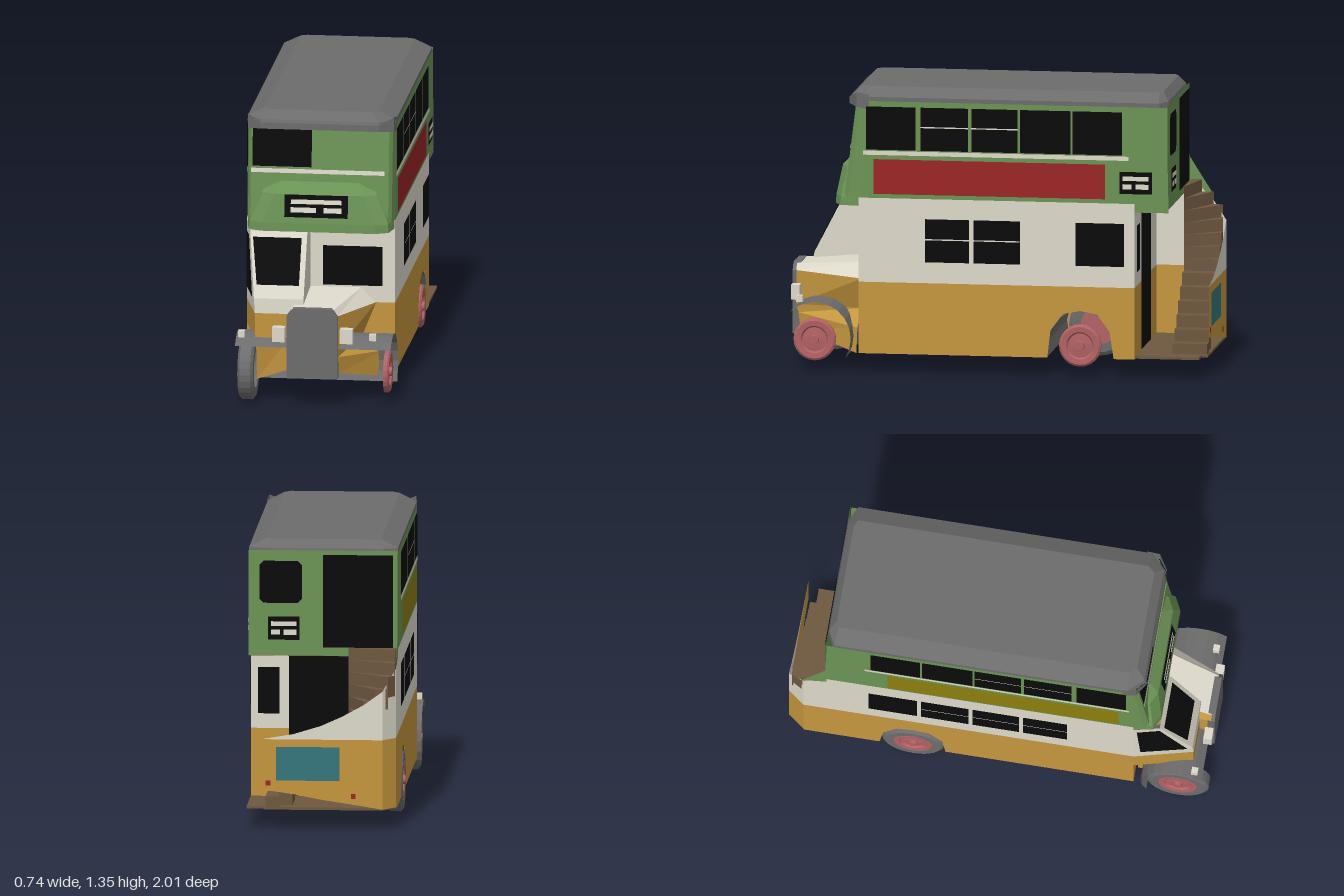
import * as THREE from 'three';
import { ConvexGeometry } from 'three/addons/geometries/ConvexGeometry.js';

const mat = (name, color) => {
  const m = new THREE.MeshStandardMaterial({ color, side: THREE.DoubleSide, flatShading: true });
  m.name = name;
  return m;
};

export function createModel() {
  const bus = new THREE.Group();
  bus.name = 'doubleDeckerBus';
  const cream = mat('cream', 0xddd9cb), orange = mat('orange', 0xc4963e), green = mat('green', 0x6b9355),
    grey = mat('grey', 0x6c6c6c), red = mat('red', 0x9a2626), olive = mat('olive', 0x8c7e0e),
    brown = mat('brown', 0x6e5840), pink = mat('pink', 0xb26264), teal = mat('teal', 0x34767c), black = mat('black', 0x0b0b0b);

  const add = (name, geo, m) => {
    const mesh = new THREE.Mesh(geo, m);
    mesh.name = name;
    bus.add(mesh);
    return mesh;
  };
  // flat outline laid into space by a mapping rule
  const panel = (name, m, pts, map) => {
    const g = new THREE.ShapeGeometry(new THREE.Shape(pts.map(p => new THREE.Vector2(...p))));
    const a = g.attributes.position;
    for (let i = 0; i < a.count; i++) a.setXYZ(i, ...map(a.getX(i), a.getY(i)));
    g.computeVertexNormals();
    return add(name, g, m);
  };
  const side = (name, m, x, pts) => panel(name, m, pts, (z, y) => [x, y, z]);
  const face = (name, m, z, pts) => panel(name, m, pts, (x, y) => [x, y, z]);
  const rect = (a, b, c, d) => [[a, c], [b, c], [b, d], [a, d]];
  // strip of quads between rows of points
  const loft = (name, m, rows) => {
    const v = [];
    for (let r = 0; r + 1 < rows.length; r++)
      for (let i = 0; i + 1 < rows[r].length; i++) {
        const a = rows[r][i], b = rows[r][i + 1], c = rows[r + 1][i + 1], d = rows[r + 1][i];
        v.push(...a, ...b, ...c, ...a, ...c, ...d);
      }
    const g = new THREE.BufferGeometry();
    g.setAttribute('position', new THREE.Float32BufferAttribute(v, 3));
    g.computeVertexNormals();
    return add(name, g, m);
  };
  const quad = (name, m, a, b, c, d) => loft(name, m, [[a, b], [d, c]]);
  const box = (name, m, w, h, d, x, y, z) => add(name, new THREE.BoxGeometry(w, h, d), m).position.set(x, y, z);

  // side walls, windows and advert panels
  const arch = [[-0.56, 0.09], [-0.54, 0.22], [-0.48, 0.30], [-0.4, 0.315], [-0.32, 0.30], [-0.26, 0.22], [-0.245, 0.09]];
  for (const s of [1, -1]) {
    const x = 0.35 * s, back = s > 0 ? -0.66 : -0.92, o = x + 0.004 * s;
    side('lowerSide', orange, x, [[back, 0.09], ...arch, [0.65, 0.09], [0.65, 0.43], [back, 0.43]]);
    side('middleSide', cream, x, [[back, 0.43], [0.65, 0.43], [0.65, 0.83], [s > 0 ? back : -0.84, 0.83], [back, 0.76]]);
    side('upperSide', green, x, [[-0.82, 0.83], [0.64, 0.83], [0.63, 1], [0.61, 1.29], [-0.81, 1.29]]);
    side('advert', s > 0 ? red : olive, o, rect(-0.52, 0.58, 0.85, 1.015));
    side('sideStrip', cream, o, rect(-0.63, 0.63, 1.035, 1.055));
    [[0.38, 0.615], [0.13, 0.355], [-0.105, 0.115], [-0.355, -0.115], [-0.6, -0.365]].forEach(([a, b], i) => {
      side('upperWindow', black, o, rect(a, b, 1.06, 1.265));
      if (i === 1 || i === 2) side('windowBar', cream, x + 0.007 * s, rect(a, b, 1.168, 1.174));
    });
    const lower = [[0.125, 0.335], [-0.115, 0.105], [-0.61, -0.38]];
    if (s < 0) lower.push([-0.36, -0.135]);
    lower.forEach(([a, b], i) => {
      side('lowerWindow', black, o, rect(a, b, 0.53, 0.735));
      if (i !== 2) side('windowBar', cream, x + 0.007 * s, rect(a, b, 0.635, 0.641));
    });
  }
  side('upperLip', green, 0.351, rect(-0.82, -0.66, 0.79, 0.83));
  side('stairSidePanel', green, -0.352, [[-0.81, 0.80], [-0.93, 0.77], [-0.81, 0.96]]);

  // roof with bevelled edges
  const ring = (y, w, zb, zf, c) => [-1, 1].flatMap(s => [
    [s * w, y, zb + c * 0.5], [s * (w - c), y, zb], [s * w, y, zf - c], [s * (w - c), y, zf]]);
  const roof = [...ring(1.285, 0.35, -0.815, 0.70, 0.07), ...ring(1.31, 0.35, -0.81, 0.69, 0.07), ...ring(1.35, 0.27, -0.78, 0.65, 0.03)];
  add('roof', new ConvexGeometry(roof.map(p => new THREE.Vector3(...p))), grey);
  loft('roofPeak', grey, [1.22, 1.29].map((y, i) => [[-0.352, y + 0.03, 0.6], [-0.345, y + 0.04, 0.66], [-0.28, 1.268 + i * 0.03, 0.705], [0.28, 1.268 + i * 0.03, 0.705], [0.345, y + 0.04, 0.66], [0.352, y + 0.03, 0.6]]));

  // upper front wall and canopy bulge
  const zf = y => 0.70 - 0.125 * (y - 1);
  loft('upperFront', green, [0.83, 1.0, 1.29].map(y => {
    const z = zf(y);
    return [[-0.35, y, z - 0.08], [-0.34, y, z - 0.02], [-0.325, y, z], [0.325, y, z], [0.34, y, z - 0.02], [0.35, y, z - 0.08]];
  }));
  const bulge = (y, w, z0, z1) => [[-w, y, z0], [-w + 0.02, y, z1 - 0.03], [-w + 0.08, y, z1], [w - 0.08, y, z1], [w - 0.02, y, z1 - 0.03], [w, y, z0]];
  loft('frontCanopy', green, [bulge(0.79, 0.35, 0.64, 0.77), bulge(0.83, 0.347, 0.645, 0.768), bulge(0.965, 0.29, 0.69, 0.745), bulge(1.02, 0.26, 0.68, 0.695)]);
  panel('canopyUnderside', green, bulge(0.79, 0.35, 0.64, 0.765).map(p => [p[0], p[2]]), (x, z) => [x, 0.791, z]);
  const frontPlate = (name, m, r) => panel(name, m, r, (x, y) => [x, y, zf(y) + 0.005]);
  frontPlate('frontUpperWindow', black, rect(-0.32, -0.04, 1.085, 1.265));
  frontPlate('frontStrip', cream, rect(-0.325, 0.305, 1.055, 1.075));

  // route boxes: dark plate with plain light bars
  const routeBox = (cx, cy, w, h, map) => {
    const part = (m, a, b, c, d, lift) => panel('routeBox', m, rect(cx + a * w, cx + b * w, cy + c * h, cy + d * h), (u, v) => map(u, v, lift));
    part(black, -0.5, 0.5, -0.5, 0.5, 0.005);
    part(cream, -0.4, 0.4, 0.1, 0.3, 0.009);
    part(cream, -0.4, 0, -0.28, -0.05, 0.009);
    part(cream, 0.12, 0.4, -0.28, -0.05, 0.009);
  };
  routeBox(-0.01, 0.912, 0.3, 0.105, (x, y, l) => [x, y, 0.768 - (y - 0.83) * 0.17 + l]);
  routeBox(-0.665, 0.93, 0.155, 0.105, (z, y, l) => [0.35 + l, y, z]);
  routeBox(0.185, 0.93, 0.15, 0.11, (x, y, l) => [x, y, -0.815 - l]);

  // front bulkhead
  face('bulkheadLower', orange, 0.65, rect(-0.35, 0.35, 0.09, 0.43));
  face('bulkheadUpper', cream, 0.65, rect(-0.35, 0.35, 0.43, 0.83));
  face('bulkheadWindow', black, 0.656, rect(0.01, 0.29, 0.51, 0.7));

  // half-width driver's cab
  const cabZ = y => 0.92 - (y - 0.5) * 0.517;
  const cabX = y => -0.285 - (y - 0.5) * 0.12;
  loft('cabShell', cream, [0.43, 0.5, 0.79].map(y => {
    const z = y < 0.5 ? 0.925 : cabZ(y), x = y < 0.5 ? -0.28 : cabX(y);
    return [[-0.35, y, 0.65], [x, y, z], [-0.05, y, z], [-0.05, y, 0.65]];
  }));
  panel('cabWindscreen', black, [[-0.275, 0.56], [-0.075, 0.56], [-0.075, 0.765], [-0.305, 0.765]], (x, y) => [x, y, cabZ(y) + 0.006]);
  const cabSide = (y, t) => [-0.35 + (cabX(y) + 0.35) * t - 0.006, y, 0.65 + (cabZ(y) - 0.65) * t];
  quad('cabSideWindow', black, cabSide(0.5, 0.12), cabSide(0.5, 0.92), cabSide(0.77, 0.92), cabSide(0.77, 0.12));
  loft('cabSkirt', orange, [0.31, 0.43].map(y => [[-0.35, y, 0.65], [-0.28, y, 0.925], [-0.05, y, 0.925]]));
  loft('cabBase', orange, [[[-0.275, 0.08, 0.66], [-0.275, 0.1, 0.88], [-0.12, 0.16, 0.92]], [[-0.275, 0.31, 0.66], [-0.275, 0.31, 0.92], [-0.12, 0.31, 0.925]]]);

  // bonnet tapering to the radiator
  loft('bonnetTop', cream, [
    [[-0.06, 0.5, 0.65], [0.19, 0.5, 0.65], [0.26, 0.43, 0.65]],
    [[-0.10, 0.47, 0.98], [0.10, 0.47, 0.98], [0.12, 0.44, 0.98]]]);
  loft('bonnetFlank', orange, [
    [[0.26, 0.43, 0.65], [0.2, 0.28, 0.66], [0.29, 0.2, 0.665], [0.29, 0.08, 0.67]],
    [[0.12, 0.44, 0.98], [0.12, 0.28, 0.98], [0.12, 0.24, 0.97], [0.12, 0.16, 0.96]]]);
  loft('bonnetInnerFlank', orange, [
    [[-0.06, 0.5, 0.65], [-0.1, 0.43, 0.66], [-0.14, 0.1, 0.66]],
    [[-0.10, 0.47, 0.98], [-0.12, 0.44, 0.98], [-0.12, 0.16, 0.96]]]);
  const grille = new THREE.Shape([[-0.12, 0.14], [0.12, 0.14], [0.12, 0.44], [0.09, 0.475], [-0.09, 0.475], [-0.12, 0.44]].map(p => new THREE.Vector2(...p)));
  add('radiator', new THREE.ExtrudeGeometry(grille, { depth: 0.035, bevelEnabled: false }), grey).position.z = 0.963;

  // mudguards: curved sheets across the full width
  const guard = (name, w, cy, cz, r, a0, a1) => loft(name, grey, Array.from({ length: 11 }, (_, i) => {
    const a = (a0 + (a1 - a0) * i / 10) * Math.PI / 180, y = cy + r * Math.sin(a), z = cz + r * Math.cos(a);
    return [[-w, y, z], [w, y, z]];
  }));
  guard('frontMudguard', 0.368, 0.16, 0.855, 0.17, 45, 214);
  guard('rearMudguard', 0.349, 0.15, -0.4, 0.165, -20, 200);

  // lamps
  for (const s of [-1, 1]) {
    box('headlamp', cream, 0.06, 0.07, 0.04, s * 0.16, 0.345, 0.975);
    box('sideLamp', cream, s < 0 ? 0.03 : 0.032, 0.03, 0.03, s < 0 ? -0.34 : 0.28, 0.333, 0.94);
  }

  // wheels
  const hub = [[0, 0.026], [0.02, 0.026], [0.022, 0.012], [0.058, 0.008], [0.065, 0.018], [0.09, 0.02], [0.1, 0.012], [0.1, -0.006], [0, -0.006]].map(p => new THREE.Vector2(...p));
  for (const z of [0.86, -0.4])
    for (const s of [-1, 1]) {
      const h = add('wheelHub', new THREE.LatheGeometry(hub, 24), pink);
      h.rotation.z = -s * Math.PI / 2;
      h.position.set(s * 0.336, 0.15, z);
    }
  for (const z of [0.86, -0.4]) {
    const p = [[0.09, -0.037], [0.13, -0.037], [0.147, -0.025], [0.147, 0.025], [0.13, 0.037], [0.095, 0.037], [0.09, 0.02]].map(q => new THREE.Vector2(...q));
    const t = add('tyre', new THREE.LatheGeometry(p, 28), grey);
    t.rotation.z = Math.PI / 2;
    t.position.set(-0.318, 0.147, z);
  }

  // rear walls and doorways
  face('rearLowerWall', orange, -0.66, rect(-0.35, 0.35, 0.09, 0.43));
  face('rearMiddleWall', cream, -0.66, rect(-0.35, 0.35, 0.43, 0.82));
  face('lowerDoorway', black, -0.665, rect(-0.14, 0.17, 0.11, 0.8));
  face('rearLowerWindow', black, -0.665, rect(0.215, 0.315, 0.5, 0.72));
  face('rearUpperWall', green, -0.815, [[-0.35, 0.8], [0.35, 0.8], [0.35, 1.3], [-0.35, 1.3]]);
  face('upperDoorway', black, -0.82, rect(-0.33, 0.0, 0.84, 1.28));
  face('rearUpperWindow', black, -0.82, [[0.1, 1.07], [0.12, 1.05], [0.28, 1.05], [0.3, 1.07], [0.3, 1.23], [0.28, 1.25], [0.12, 1.25], [0.1, 1.23]]);
  box('upperFloor', brown, 0.69, 0.015, 1.44, 0, 0.805, -0.09);

  // boarding platform and winding stairs
  const slab = (name, pts, y, h) => {
    const g = new THREE.ExtrudeGeometry(new THREE.Shape(pts.map(p => new THREE.Vector2(p[0], -p[1]))), { depth: h, bevelEnabled: false });
    g.rotateX(-Math.PI / 2);
    add(name, g, brown).position.y = y;
  };
  slab('platform', [[-0.345, -0.66], [0.35, -0.66], [0.35, -0.965], [0.27, -0.965], [0.27, -0.995], [-0.29, -0.995], [-0.345, -0.92]], 0.095, 0.012);
  const rise = 0.057, px = -0.12, pz = -0.825;
  for (let i = 0; i < 6; i++) {
    const x = 0.26 - i * 0.063;
    slab('straightStep', [[x, pz], [x, -0.99], [x - 0.065, -0.99], [x - 0.065, pz]], 0.1 + rise * i - (i ? 0.04 : 0), rise + (i ? 0.04 : 0));
  }
  const edge = a => {
    const dx = -Math.sin(a), dz = -Math.cos(a);
    const t = Math.min(0.225 / Math.max(Math.abs(dx), 1e-6), 0.165 / Math.max(Math.abs(dz), 1e-6), 0.25);
    return [px + dx * t, pz + dz * t];
  };
  for (let i = 0; i < 7; i++) {
    const a = i * 0.225;
    slab('windingStep', [[px, pz], edge(a + 0.225), edge(a)], 0.1 + rise * (i + 6) - 0.04, rise + 0.04);
  }

  // curved panel wrapping the stairs
  const wrap = [[-0.35, -0.92, 0.1, 0.76], [-0.29, -1, 0.1, 0.66], [-0.2, -1, 0.115, 0.595], [-0.1, -1, 0.13, 0.54], [0, -1, 0.145, 0.495], [0.13, -1, 0.17, 0.455], [0.27, -1, 0.19, 0.432]];
  loft('stairPanelLower', orange, [wrap.map(p => [p[0], p[2], p[1]]), wrap.map(p => [p[0], 0.43, p[1]])]);
  loft('stairPanelUpper', cream, [wrap.map(p => [p[0], 0.43, p[1]]), wrap.map(p => [p[0], p[3], p[1]])]);
  face('rearAdvert', teal, -1.004, rect(-0.09, 0.21, 0.235, 0.395));
  face('tailLamp', red, -1.004, rect(0.235, 0.258, 0.21, 0.235));
  face('tailLamp', red, -1.004, rect(-0.165, -0.142, 0.15, 0.175));
  return bus;
}
